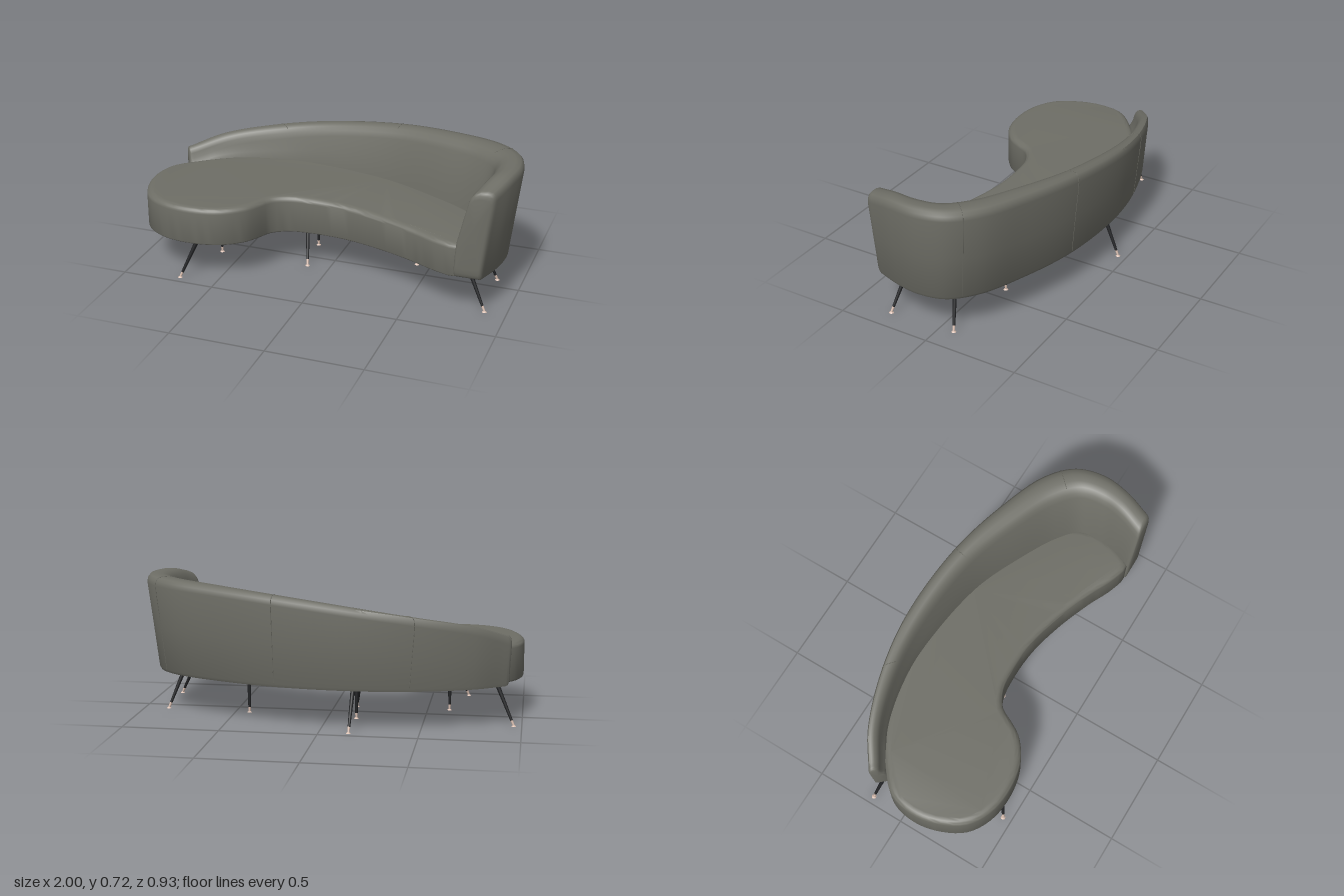
import * as THREE from 'three';
import { mergeVertices, toCreasedNormals } from 'three/addons/utils/BufferGeometryUtils.js';

const fabric = new THREE.MeshStandardMaterial({ name: 'grey fabric', color: 0x6e6e66 });
const black = new THREE.MeshStandardMaterial({ name: 'black leg', color: 0x222325 });
const copper = new THREE.MeshStandardMaterial({ name: 'copper tip', color: 0xd6bcae });

function mesh(name, geometry, material) {
  const m = new THREE.Mesh(geometry, material);
  m.name = name;
  return m;
}

// Seat outline as x, z around the kidney shape
const SEAT = [
  [-1, 0.09], [-0.98, 0.22], [-0.905, 0.36], [-0.785, 0.433], [-0.63, 0.453], [-0.48, 0.423],
  [-0.37, 0.345], [-0.32, 0.265], [-0.285, 0.2], [-0.2, 0.15], [-0.08, 0.135], [0.1, 0.143],
  [0.3, 0.19], [0.5, 0.263], [0.65, 0.33], [0.75, 0.348], [0.8, 0.27], [0.82, 0.1], [0.75, -0.05],
  [0.5, -0.2], [0.2, -0.31], [-0.13, -0.36], [-0.4, -0.35], [-0.66, -0.28], [-0.86, -0.15], [-0.97, -0.04],
];

function makeSeat() {
  const curve = new THREE.CatmullRomCurve3(SEAT.map(([x, z]) => new THREE.Vector3(x, -z, 0)), true);
  const pts = curve.getSpacedPoints(140).slice(0, -1).map((p) => new THREE.Vector2(p.x, p.y));
  const geo = new THREE.ExtrudeGeometry(new THREE.Shape(pts), {
    depth: 0.166, bevelThickness: 0.028, bevelSize: 0.036, bevelOffset: -0.036, bevelSegments: 6,
  });
  geo.rotateX(-Math.PI / 2);
  // Tighter rounding underneath, and a top that falls slightly towards the arm
  const p = geo.attributes.position;
  for (let i = 0; i < p.count; i++) {
    let y = p.getY(i);
    if (y < 0) y *= 0.5;
    const drop = 0.025 * THREE.MathUtils.smoothstep(p.getX(i), -0.4, 0.7);
    p.setY(i, 0.214 + y - drop * THREE.MathUtils.clamp(y / 0.19, 0, 1));
  }
  return mesh('seat', toCreasedNormals(geo, 0.7), fabric);
}

// Backrest stations: inner x, z; outer x, z; top height
const BACK = [
  [-0.865, -0.133, -0.925, -0.205, 0.47], [-0.66, -0.245, -0.77, -0.305, 0.528],
  [-0.37, -0.308, -0.5, -0.4, 0.58], [-0.13, -0.306, -0.18, -0.448, 0.626],
  [0.22, -0.254, 0.245, -0.42, 0.675], [0.49, -0.144, 0.59, -0.329, 0.702],
  [0.68, -0.04, 0.83, -0.228, 0.715], [0.775, 0.05, 0.955, -0.107, 0.72],
  [0.785, 0.16, 0.997, 0.04, 0.72], [0.77, 0.25, 0.98, 0.19, 0.714],
  [0.742, 0.34, 0.935, 0.338, 0.684],
];
const innerCurve = new THREE.CatmullRomCurve3(BACK.map((b) => new THREE.Vector3(b[0], 0, b[1])));
const outerCurve = new THREE.CatmullRomCurve3(BACK.map((b) => new THREE.Vector3(b[2], b[4], b[3])));

// Closed cross-section at t: up the sloping inside, over the top, down the flared outside
function section(t) {
  const a = innerCurve.getPoint(t), b = outerCurve.getPoint(t), h = b.y;
  const seat = Math.min(0.39, h - 0.11);
  const foot = 0.83 - 0.1 * t;
  const profile = [
    [0.04, 0.206], [0, 0.222], [0.01, 0.3], [0.05, seat], [0.19, (seat + h - 0.06) / 2], [0.34, h - 0.06],
    [0.4, h - 0.032], [0.5, h - 0.011], [0.64, h - 0.001], [0.8, h], [0.92, h - 0.005], [0.98, h - 0.02],
    [1, h - 0.045], [(1 + foot) / 2, (h + 0.18) / 2], [foot, 0.222], [foot - 0.04, 0.206],
  ];
  return profile.map(([f, y]) => new THREE.Vector3(a.x + (b.x - a.x) * f, y, a.z + (b.z - a.z) * f));
}

// Shrunken copy of a section, pushed outwards, to round off an end
function endRing(t, scale, push) {
  const ring = section(t);
  const mid = ring.reduce((s, p) => s.add(p), new THREE.Vector3()).divideScalar(ring.length);
  const dir = innerCurve.getTangent(t).add(outerCurve.getTangent(t)).setY(0).normalize().multiplyScalar(push);
  return ring.map((p) => p.lerp(mid, 1 - scale).add(dir));
}

function makeBackrest() {
  const ends = [[0.985, 0.008], [0.95, 0.016], [0.89, 0.021], [0.8, 0.024], [0, 0.026]];
  const rings = ends.map(([s, d]) => endRing(0, s, -d)).reverse();
  for (let i = 0; i <= 100; i++) rings.push(section(i / 100));
  ends.forEach(([s, d]) => rings.push(endRing(1, s, d)));
  const n = rings[0].length, index = [];
  for (let i = 0; i < rings.length - 1; i++) {
    for (let j = 0; j < n; j++) {
      const k = (j + 1) % n, a = i * n, b = a + n;
      index.push(a + j, b + j, a + k, b + j, b + k, a + k);
    }
  }
  const geo = new THREE.BufferGeometry().setFromPoints(rings.flat());
  geo.setIndex(index);
  return mesh('backrest', toCreasedNormals(mergeVertices(geo), 0.8), fabric);
}

// Fine sewn seam over the top and down the outside
function makeSeam(t) {
  const path = new THREE.CatmullRomCurve3(section(t).slice(7, 15), false, 'centripetal');
  return mesh('seam', new THREE.TubeGeometry(path, 40, 0.0018, 5), fabric);
}

// Legs: top x, z then foot x, z
const LEGS = [
  [-0.87, -0.16, -0.96, -0.193], [-0.615, 0.4, -0.7, 0.453], [-0.615, 0.103, -0.615, 0.103],
  [-0.16, -0.36, -0.15, -0.453], [-0.15, -0.15, -0.15, -0.15], [-0.155, 0.0, -0.12, 0.103],
  [0.425, -0.105, 0.425, -0.105], [0.79, -0.04, 0.87, -0.078], [0.79, 0.24, 0.89, 0.28],
];

function rod(name, from, to, rTop, rBottom, material) {
  const m = mesh(name, new THREE.CylinderGeometry(rTop, rBottom, from.distanceTo(to), 14), material);
  m.position.copy(from).lerp(to, 0.5);
  m.quaternion.setFromUnitVectors(new THREE.Vector3(0, 1, 0), from.clone().sub(to).normalize());
  return m;
}

function makeLeg([tx, tz, fx, fz]) {
  const g = new THREE.Group();
  g.name = 'leg';
  const top = new THREE.Vector3(tx, 0.21, tz), foot = new THREE.Vector3(fx, 0.003, fz);
  const joint = foot.clone().lerp(top, 0.13);
  g.add(rod('legShaft', top, joint, 0.0115, 0.0068, black));
  g.add(rod('legTip', joint, foot, 0.0068, 0.0055, copper));
  const pad = mesh('footPad', new THREE.CylinderGeometry(0.006, 0.0125, 0.006, 14), copper);
  pad.position.set(fx, 0.003, fz);
  g.add(pad);
  return g;
}

export function createModel() {
  const sofa = new THREE.Group();
  sofa.name = 'curvedSofa';
  sofa.add(makeSeat(), makeBackrest());
  [0.21, 0.4, 0.65].forEach((t) => sofa.add(makeSeam(t)));
  LEGS.forEach((l) => sofa.add(makeLeg(l)));
  return sofa;
}
